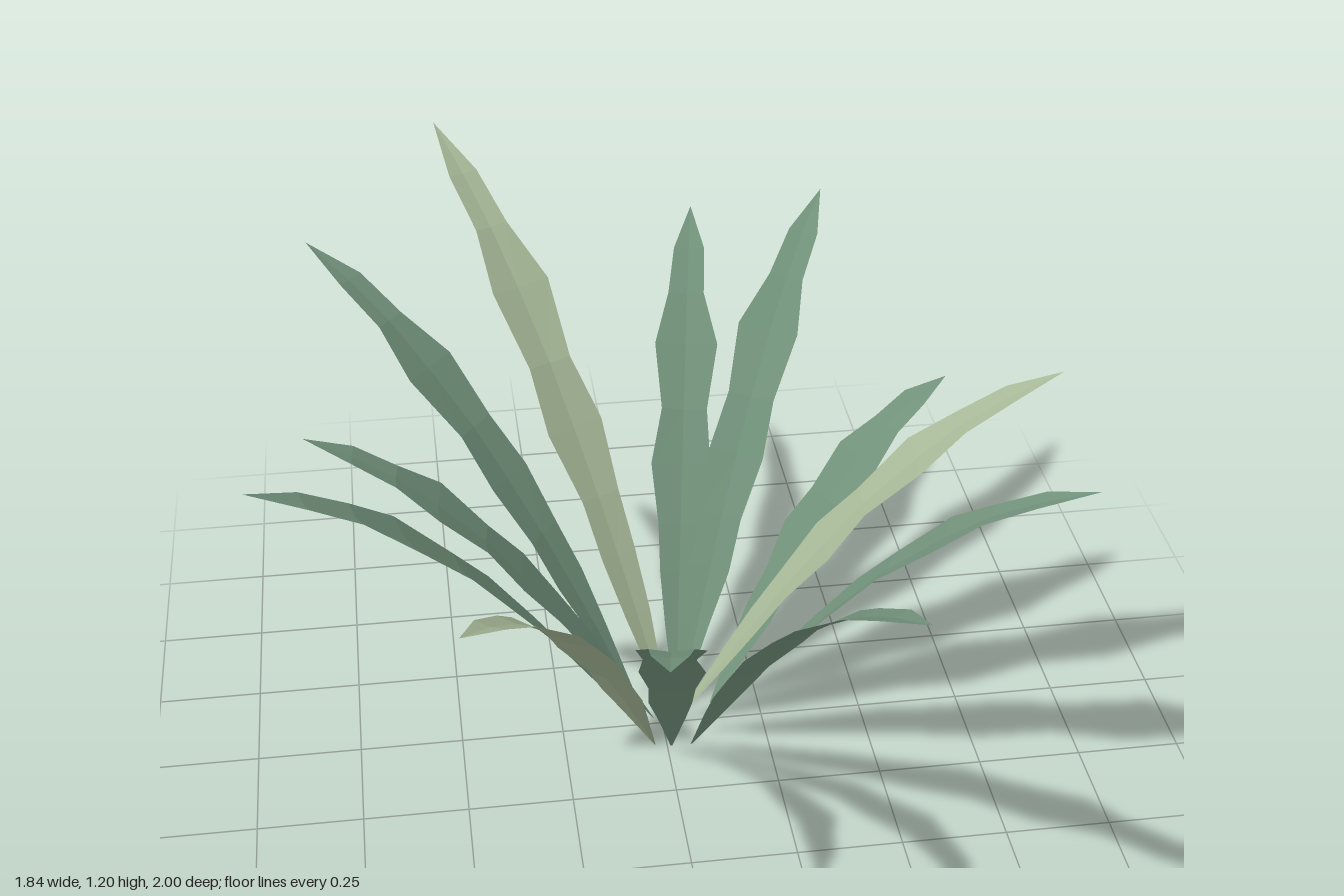
import * as THREE from 'three';

// Stations along a blade: [position 0..1, half width]
const PROFILE = [
  [0, 0.002], [0.15, 0.034], [0.24, 0.05], [0.33, 0.053], [0.44, 0.075],
  [0.545, 0.058], [0.675, 0.078], [0.785, 0.045], [0.89, 0.038], [1, 0],
];

// Blades: base x, base z, tip x, tip y, tip z, droop, pale
const BLADES = [
  [0.02, -0.03, -0.45, 1.20, -1.00, 0.82, true],
  [0.04, -0.04, 0.20, 0.955, -0.93, 0.85, false],
  [0.05, -0.05, 0.52, 1.035, -0.825, 0.85, false],
  [0.13, -0.06, 0.75, 0.755, -0.335, 0.91, false],
  [0.04, -0.01, 0.92, 0.975, 0.03, 0.86, true],
  [0.10, 0.04, 0.845, 1.005, 0.55, 0.85, false],
  [0.06, 0.09, 0.375, 1.055, 1.00, 0.83, false],
  [0.01, 0.09, -0.11, 0.93, 0.92, 0.86, false],
  [-0.03, 0.08, -0.505, 1.00, 0.85, 0.86, true],
  [-0.05, 0.02, -0.92, 1.02, 0.34, 0.86, false],
  [-0.02, -0.02, -0.81, 0.88, -0.07, 0.86, false],
  [-0.05, -0.08, -0.785, 1.055, -0.675, 0.84, false],
];

// Arching, shallowly channelled blade with wavy edges
function bladeGeometry([bx, bz, tx, ty, tz, droop], seed) {
  const at = (f, h) => new THREE.Vector3(bx + (tx - bx) * f, ty * h, bz + (tz - bz) * f);
  const curve = new THREE.CubicBezierCurve3(at(0, 0.005), at(0.285, 0.435), at(0.57, droop), at(1, 1));
  const side = new THREE.Vector3(0, 1, 0).cross(at(1, 0).sub(at(0, 0))).normalize();
  const positions = [], index = [];

  PROFILE.forEach(([t, w], i) => {
    const p = curve.getPoint(t);
    const up = curve.getTangent(t).cross(side).normalize();
    // Slight unevenness between the two edges
    const left = w * (1 + 0.06 * Math.sin(seed * 2.1 + i * 1.7));
    const right = w * (1 + 0.06 * Math.sin(seed * 1.3 + i * 2.3));
    const row = [
      p.clone().addScaledVector(side, left),
      p.clone().addScaledVector(up, -0.12 * w),
      p.clone().addScaledVector(side, -right),
    ];
    row.forEach((v) => positions.push(v.x, v.y, v.z));
    if (i === PROFILE.length - 1) return;
    for (let k = 0; k < 2; k++) {
      const a = i * 3 + k, b = a + 1, c = a + 3, d = a + 4;
      index.push(a, b, d);
      // The last row meets in a single point
      if (i < PROFILE.length - 2) index.push(a, d, c);
    }
  });

  const geometry = new THREE.BufferGeometry();
  geometry.setAttribute('position', new THREE.Float32BufferAttribute(positions, 3));
  geometry.setIndex(index);
  const flat = geometry.toNonIndexed();
  flat.computeVertexNormals();
  return flat;
}

export function createModel() {
  const plant = new THREE.Group();
  plant.name = 'plant';
  const leafGreen = new THREE.MeshStandardMaterial({
    name: 'leaf green', color: 0x71917a, flatShading: true, side: THREE.DoubleSide,
  });
  const paleGreen = new THREE.MeshStandardMaterial({
    name: 'pale green', color: 0xa5b796, flatShading: true, side: THREE.DoubleSide,
  });
  BLADES.forEach((blade, i) => {
    const mesh = new THREE.Mesh(bladeGeometry(blade, i), blade[6] ? paleGreen : leafGreen);
    mesh.name = `leaf${i + 1}`;
    plant.add(mesh);
  });
  return plant;
}
